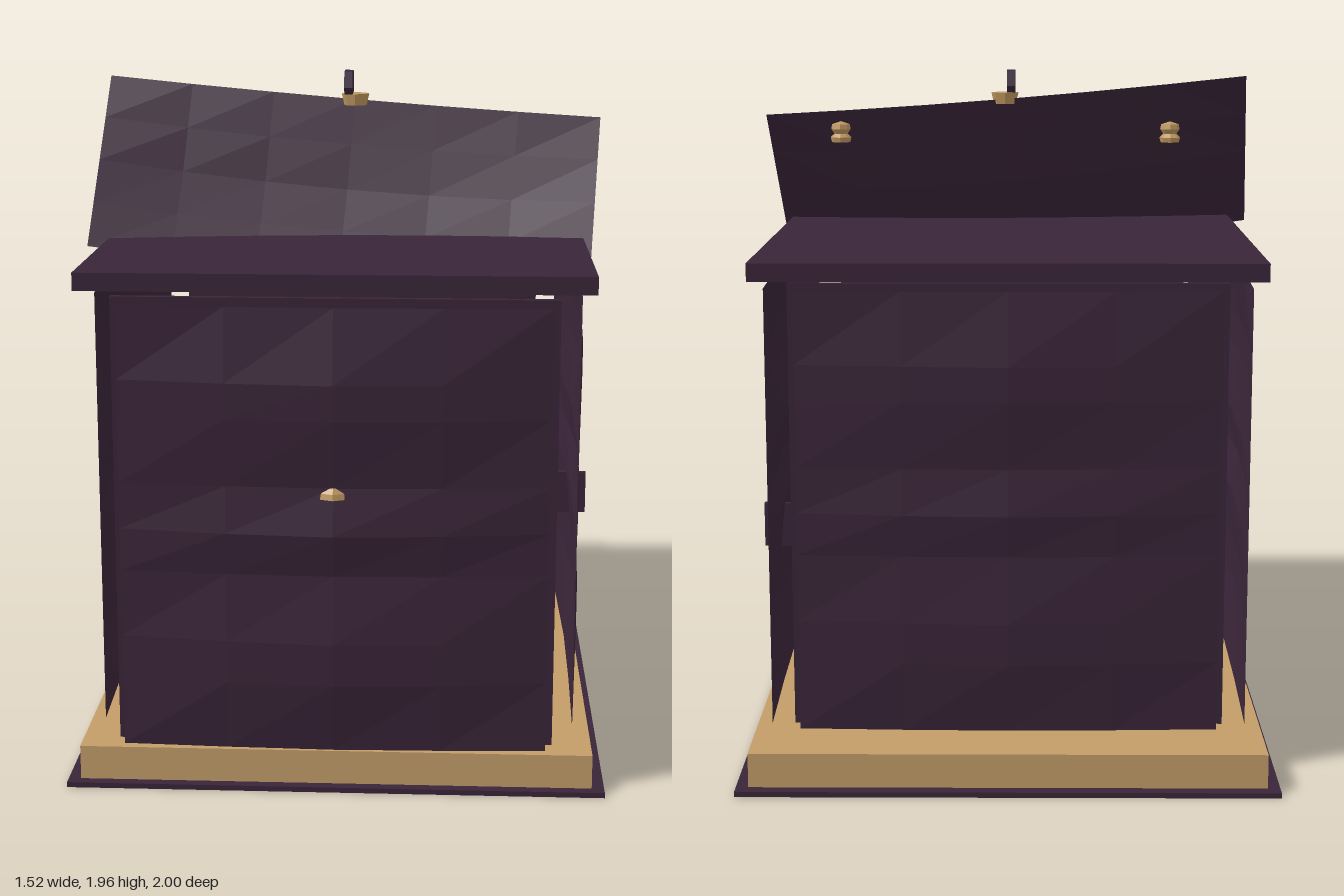
import * as THREE from 'three';

export function createModel() {
  const model = new THREE.Group();
  const dark = new THREE.MeshStandardMaterial({ color: 0x3a2539, flatShading: true, side: THREE.DoubleSide });
  dark.name = 'dark plum wood';
  const tan = new THREE.MeshStandardMaterial({ color: 0xc39d69, flatShading: true });
  tan.name = 'tan wood';
  const gold = new THREE.MeshStandardMaterial({ color: 0xbf9860, flatShading: true });
  gold.name = 'dull gold';

  const add = (name, geo, mat, x = 0, y = 0, z = 0) => {
    const m = new THREE.Mesh(geo, mat);
    m.name = name;
    m.position.set(x, y, z);
    model.add(m);
    return m;
  };
  // box given by its minimum and maximum corners
  const box = (name, mat, [x0, y0, z0], [x1, y1, z1]) =>
    add(name, new THREE.BoxGeometry(x1 - x0, y1 - y0, z1 - z0), mat,
      (x0 + x1) / 2, (y0 + y1) / 2, (z0 + z1) / 2);

  // open sheet: point(u, row) for u in -1..1, rows counted from the bottom
  const sheet = (cols, rows, point) => {
    const pos = [], index = [];
    for (let r = 0; r < rows; r++)
      for (let c = 0; c <= cols; c++) pos.push(...point(-1 + (2 * c) / cols, r));
    for (let r = 0; r < rows - 1; r++)
      for (let c = 0; c < cols; c++) {
        const a = r * (cols + 1) + c, b = a + cols + 1;
        index.push(a, a + 1, b + 1, a, b + 1, b);
      }
    const geo = new THREE.BufferGeometry();
    geo.setAttribute('position', new THREE.Float32BufferAttribute(pos, 3));
    geo.setIndex(index);
    geo.computeVertexNormals();
    return geo;
  };

  // base and lid
  box('basePlate', dark, [-0.76, 0, -1], [0.76, 0.015, 0.935]);
  box('baseSlab', tan, [-0.725, 0.015, -0.965], [0.725, 0.113, 0.905]);
  box('lid', dark, [-0.705, 1.43, -0.905], [0.705, 1.48, 0.93]);

  // thin inner boards at the two ends
  box('frontBoard', dark, [-0.61, 0.14, 0.877], [0.61, 1.41, 0.897]);
  box('backBoard', dark, [-0.61, 0.14, -0.79], [0.61, 1.41, -0.772]);

  // bowed wall panels with three swelling bands
  const bands = [[0.14, 0.35], [0.34, 1], [0.46, 1], [0.65, 0.55], [0.77, 1],
    [0.9, 0.55], [1.09, 1], [1.19, 1], [1.395, 0.35]];
  const panel = (name, half, depth) =>
    add(name, sheet(4, bands.length, (u, r) =>
      [u * half, bands[r][0], depth * bands[r][1] * (1 - Math.pow(Math.abs(u), 1.5))]), dark);
  panel('frontPanel', 0.59, 0.058).position.z = 0.94;
  const back = panel('backPanel', 0.59, 0.043);
  back.rotation.y = Math.PI;
  back.position.z = -0.835;
  for (const s of [-1, 1]) {
    const side = panel(s > 0 ? 'leftPanel' : 'rightPanel', 0.774, 0.045);
    side.rotation.y = (s * Math.PI) / 2;
    side.position.set(s * 0.675, 0, -0.016);
  }

  // latch box behind the front panel, with its fittings
  box('latchBox', dark, [-0.18, 0.155, 0.845], [0.18, 0.87, 0.95]);
  const dome = add('frontKnob', new THREE.SphereGeometry(0.05, 8, 4, 0, Math.PI * 2, 0, Math.PI / 2),
    gold, 0, 0.87, 0.94);
  dome.scale.y = 0.85;
  for (const x of [-0.25, -0.075, 0.075, 0.25])
    add('frontStud', new THREE.CylinderGeometry(0.015, 0.02, 0.04, 8), gold, x, 0.76, 0.925);

  // side lever
  box('sideLever', dark, [0.6, 0.505, -0.21], [0.76, 0.64, -0.19]);

  // tilted flap, bowed towards the back
  const corner = (x, y, z) => new THREE.Vector3(x, y, z);
  const bl = corner(-0.765, 1.46, 0.345), br = corner(0.72, 1.34, 0.335);
  const tl = corner(-0.73, 1.94, 0.045), tr = corner(0.76, 1.82, 0.05);
  const bow = [0.05, 0.06, 0.068, 0.045, 0.02];
  const rear = corner(0, -0.5, -0.86);
  add('flap', sheet(6, 5, (u, r) => {
    const t = (u + 1) / 2;
    return bl.clone().lerp(br, t).lerp(tl.clone().lerp(tr, t), r / 4)
      .addScaledVector(rear, bow[r] * (1 - u * u)).toArray();
  }), dark);

  // knob on top of the flap: gold collar and dark fin
  add('collar', new THREE.CylinderGeometry(0.042, 0.034, 0.035, 8), gold, 0.017, 1.872, 0.05);
  const fin = new THREE.Shape([[-0.033, 0], [-0.05, 0.022], [-0.035, 0.07], [0.035, 0.07], [0.05, 0.022], [0.033, 0]]
    .map(([x, y]) => new THREE.Vector2(x, y)));
  const finMesh = add('fin', new THREE.ExtrudeGeometry(fin, { depth: 0.025, bevelEnabled: false }),
    dark, -0.015, 1.888, 0.055);
  finMesh.rotation.y = Math.PI / 2;

  // two bell-shaped knobs behind the flap
  const bell = [[0, 0], [0.028, 0], [0.032, 0.015], [0.02, 0.026], [0.03, 0.04], [0.027, 0.055], [0, 0.064]]
    .map(([x, y]) => new THREE.Vector2(x, y));
  for (const x of [-0.49, 0.52])
    add('rearKnob', new THREE.LatheGeometry(bell, 8), gold, x, 1.742, -0.04);

  return model;
}
